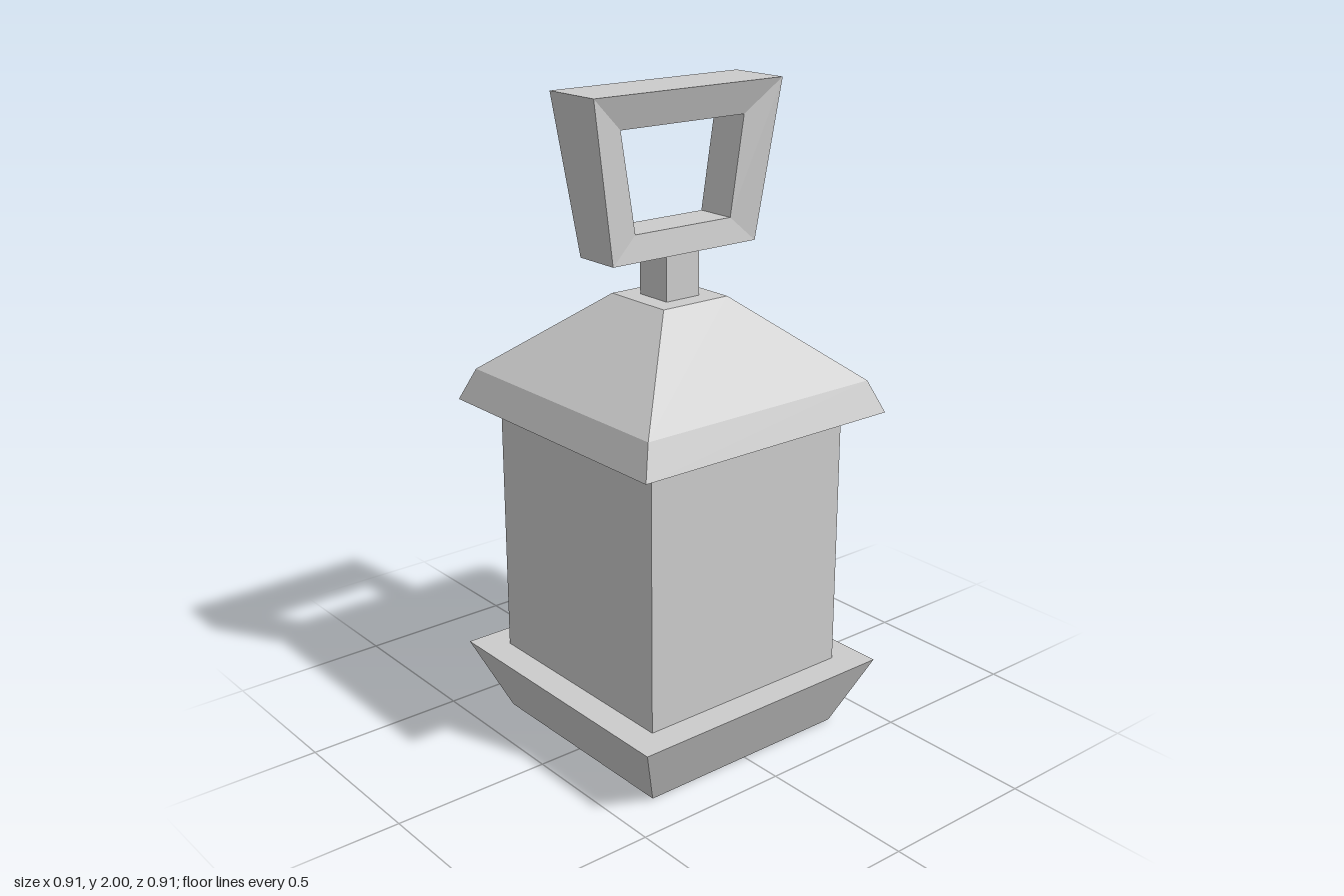
import * as THREE from 'three';

const material = new THREE.MeshStandardMaterial({ color: 0xcccccc, flatShading: true });

// Square tapered block given by half-widths at its bottom and top heights
function block(name, y0, half0, y1, half1, openEnded = false) {
  const geometry = new THREE.CylinderGeometry(half1 * Math.SQRT2, half0 * Math.SQRT2, y1 - y0, 4, 1, openEnded);
  geometry.rotateY(Math.PI / 4);
  geometry.translate(0, (y0 + y1) / 2, 0);
  const mesh = new THREE.Mesh(geometry, material);
  mesh.name = name;
  return mesh;
}

// Four-sided ring: one cross-section per corner, joined in a closed loop
function handle() {
  const top = { y: 2, z: 0.342, w: 0.1, innerY: 1.9, innerZ: 0.226, innerW: 0.065 };
  const bottom = { y: 1.525, z: 0.265, w: 0.076, innerY: 1.603, innerZ: 0.177, innerW: 0.065 };
  const section = (c, side) => [
    [c.w, c.y, side * c.z],
    [c.innerW, c.innerY, side * c.innerZ],
    [-c.innerW, c.innerY, side * c.innerZ],
    [-c.w, c.y, side * c.z],
  ];
  const rings = [section(top, 1), section(bottom, 1), section(bottom, -1), section(top, -1)];

  const positions = [];
  for (let i = 0; i < 4; i++) {
    for (let j = 0; j < 4; j++) {
      const k = (i + 1) % 4, m = (j + 1) % 4;
      const a = rings[i][j], b = rings[k][j], c = rings[i][m], d = rings[k][m];
      positions.push(...a, ...b, ...c, ...b, ...d, ...c);
    }
  }
  const geometry = new THREE.BufferGeometry();
  geometry.setAttribute('position', new THREE.Float32BufferAttribute(positions, 3));
  geometry.computeVertexNormals();
  const mesh = new THREE.Mesh(geometry, material);
  mesh.name = 'handle';
  return mesh;
}

export function createModel() {
  const lantern = new THREE.Group();
  lantern.name = 'lantern';

  // Flared base and square body
  lantern.add(block('base', 0, 0.36, 0.22, 0.455));
  lantern.add(block('body', 0.22, 0.363, 1.042, 0.363));

  // Roof: steep eaves below a shallower hipped slope
  const roof = new THREE.Group();
  roof.name = 'roof';
  roof.add(block('eaves', 1.042, 0.455, 1.14, 0.415));
  roof.add(block('roofSlope', 1.14, 0.415, 1.387, 0.12));
  lantern.add(roof);

  // Neck and carrying handle
  lantern.add(block('neck', 1.387, 0.061, 1.525, 0.061));
  lantern.add(handle());
  return lantern;
}
